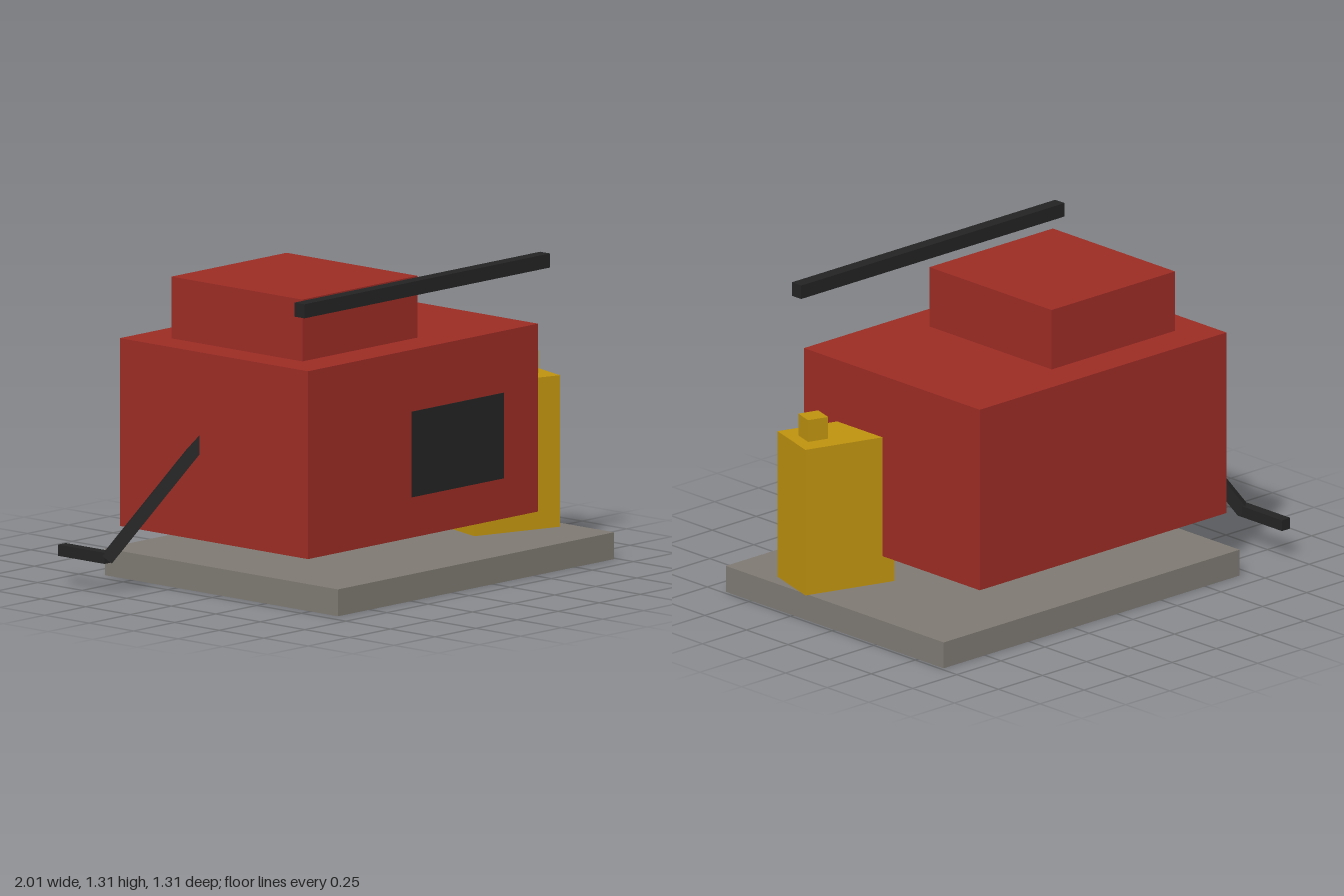
import * as THREE from 'three';

export function createModel() {
  const model = new THREE.Group();
  model.name = 'generator';

  const paint = (name, color) => {
    const m = new THREE.MeshStandardMaterial({ color });
    m.name = name;
    return m;
  };
  const red = paint('red paint', 0x9c2c24);
  const grey = paint('stone grey', 0x7e7972);
  const black = paint('black metal', 0x232323);
  const yellow = paint('yellow paint', 0xbe920f);

  // Box given by its lower and upper corners
  const box = (name, mat, [x0, y0, z0], [x1, y1, z1], parent = model) => {
    const mesh = new THREE.Mesh(new THREE.BoxGeometry(x1 - x0, y1 - y0, z1 - z0), mat);
    mesh.position.set((x0 + x1) / 2, (y0 + y1) / 2, (z0 + z1) / 2);
    mesh.name = name;
    parent.add(mesh);
    return mesh;
  };

  // Square rod between two points
  const rod = (name, mat, from, to, size) => {
    const a = new THREE.Vector3(...from), b = new THREE.Vector3(...to);
    const mesh = new THREE.Mesh(new THREE.BoxGeometry(size, size, a.distanceTo(b)), mat);
    mesh.position.copy(a).add(b).multiplyScalar(0.5);
    mesh.lookAt(b);
    mesh.name = name;
    model.add(mesh);
  };

  // Base slab, raised housing and upper tank
  box('basePlate', grey, [-0.695, 0, -0.655], [0.985, 0.113, 0.655]);
  box('housing', red, [-0.74, 0.23, -0.528], [0.66, 1.02, 0.528]);
  box('tank', red, [-0.6, 1.02, -0.367], [0.1, 1.28, 0.367]);

  // Front panel and carrying bar
  box('frontPanel', black, [-0.11, 0.4, 0.526], [0.45, 0.76, 0.531]);
  box('carryBar', black, [-0.79, 1.253, 0.498], [0.705, 1.312, 0.554]);

  // Turned fuel can with its cap
  const can = new THREE.Group();
  can.name = 'fuelCan';
  can.position.set(0.765, 0, 0.225);
  can.rotation.y = -0.3;
  model.add(can);
  box('canBody', yellow, [-0.205, 0.113, -0.13], [0.205, 0.75, 0.13], can);
  box('canCap', yellow, [0.059, 0.75, -0.046], [0.151, 0.845, 0.046], can);

  // Starting crank on the side
  rod('crankArm', black, [-0.975, 0.145, -0.383], [-0.7, 0.67, -0.075], 0.05);
  rod('crankHandle', black, [-0.976, 0.151, -0.375], [-0.976, 0.151, -0.637], 0.047);

  return model;
}
